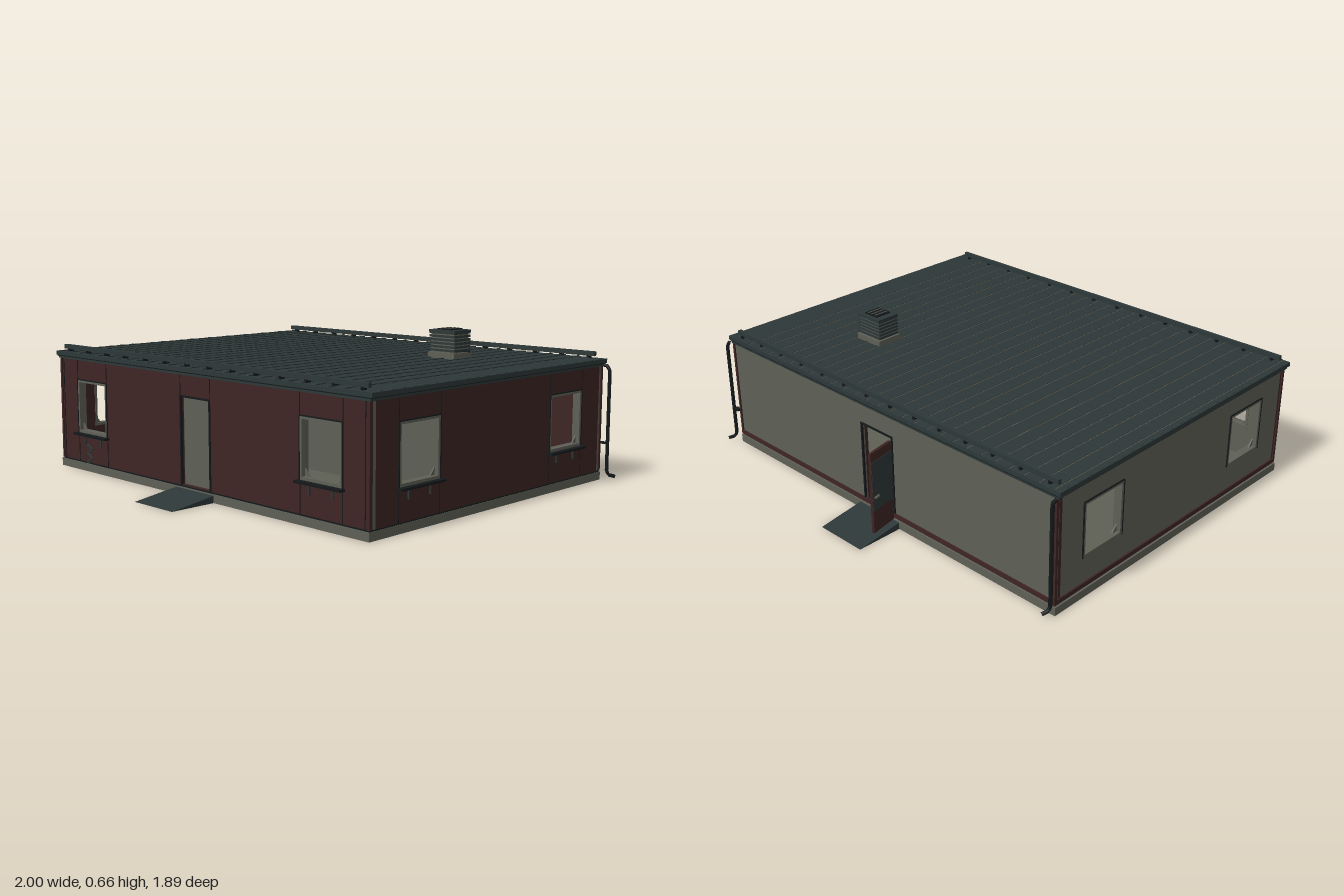
import * as THREE from 'three';

const mat = (name, color, side = THREE.FrontSide) => {
  const m = new THREE.MeshStandardMaterial({ color, side });
  m.name = name;
  return m;
};

export function createModel() {
  const red = mat('dark red cladding', 0x3e2424);
  const slate = mat('slate metal', 0x2e3838);
  const grey = mat('warm grey', 0x5e6056);
  const black = mat('near black', 0x15191b);
  const house = new THREE.Group();
  house.name = 'house';

  const add = (name, geo, m, parent = house) => {
    const mesh = new THREE.Mesh(geo, m);
    mesh.name = name;
    parent.add(mesh);
    return mesh;
  };
  // box given by its limits on each axis
  const box = (name, m, x0, x1, y0, y1, z0, z1, parent) => {
    const b = add(name, new THREE.BoxGeometry(x1 - x0, y1 - y0, z1 - z0), m, parent);
    b.position.set((x0 + x1) / 2, (y0 + y1) / 2, (z0 + z1) / 2);
    return b;
  };
  const pipe = (name, m, r, pts) => {
    const path = new THREE.CurvePath();
    const v = pts.map(p => new THREE.Vector3(...p));
    for (let i = 1; i < v.length; i++) path.add(new THREE.LineCurve3(v[i - 1], v[i]));
    add(name, new THREE.TubeGeometry(path, 40, r, 6), m);
  };

  const X0 = -0.975, X1 = 0.94, Z = 0.73, Y0 = 0.035, Y1 = 0.505, T = 0.015;
  const WY0 = 0.17, WY1 = 0.41;

  // Foundation slab
  box('foundation', grey, -0.985, 0.945, 0, Y0, -0.738, 0.738);

  // Walls: two thin skins each, with openings [a, b, bottom, top]
  const skin = (a, b, holes) => {
    const s = new THREE.Shape();
    s.moveTo(a, Y0).lineTo(b, Y0).lineTo(b, Y1).lineTo(a, Y1).closePath();
    for (const [h0, h1, v0, v1] of holes) {
      const h = new THREE.Path();
      h.moveTo(h0, v0).lineTo(h0, v1).lineTo(h1, v1).lineTo(h1, v0).closePath();
      s.holes.push(h);
    }
    return new THREE.ExtrudeGeometry(s, { depth: T, bevelEnabled: false });
  };
  const door = [-0.11, 0.075, 0.045, 0.41];
  const frontWindows = [[-0.85, -0.63, WY0, WY1], [0.59, 0.81, WY0, WY1]];
  const sideWindows = [[-0.58, -0.35, WY0, WY1], [0.35, 0.58, WY0, WY1]];
  const wallZ = (name, z, holes) => {
    add(name + 'RedSkin', skin(X0, X1, holes), red).position.z = z;
    add(name + 'GreySkin', skin(X0, X1, holes), grey).position.z = z - T;
  };
  const wallX = (name, x) => {
    const w = Z - 2 * T;
    add(name + 'RedSkin', skin(-w, w, sideWindows).rotateY(Math.PI / 2), red).position.x = x;
    add(name + 'GreySkin', skin(-w, w, sideWindows).rotateY(Math.PI / 2), grey).position.x = x - T;
  };
  wallZ('frontWall', Z - T, [door, ...frontWindows]);
  wallZ('backWall', -Z + T, [door]);
  wallX('leftWall', X1 - T);
  wallX('rightWall', X0 + T);

  // Inner partition, ceiling and inner door leaf
  box('partition', grey, X0 + 0.03, X1 - 0.03, Y0, Y1, 0.09, 0.12);
  box('ceiling', slate, X0 + 0.03, X1 - 0.03, 0.49, 0.504, -0.7, 0.7);
  box('innerDoor', red, -0.3, -0.285, 0.04, 0.4, -0.6, -0.33);
  box('innerDoorPane', slate, -0.286, -0.282, 0.13, 0.36, -0.56, -0.34);

  // Sole boards on the grey sides, corner boards and top trim
  box('backSoleBoard', red, X0, X1, 0.04, 0.06, -0.736, -0.729);
  box('rightSoleBoard', red, -0.981, -0.974, 0.04, 0.06, -Z, Z);
  box('frontSoleStrip', black, X0, X1, 0.035, 0.04, 0.729, 0.734);
  box('leftSoleStrip', black, 0.939, 0.943, 0.035, 0.04, -Z, Z);
  for (const x of [X0, X1]) for (const z of [-Z, Z])
    box('cornerBoard', red, x - 0.006, x + 0.005, 0.04, 0.5, z - 0.006, z + 0.006);

  // Cladding seams
  for (const x of [-0.96, -0.85, -0.63, -0.112, 0.077, 0.59, 0.81, 0.92]) {
    const onWindow = Math.abs(x) > 0.5 && Math.abs(x) < 0.9;
    const spans = onWindow ? [[0.04, WY0], [WY1, 0.5]] : Math.abs(x) < 0.2 ? [[WY1, 0.5]] : [[0.04, 0.5]];
    for (const [a, b] of spans) box('frontSeam', black, x - 0.0015, x + 0.0015, a, b, 0.729, 0.732);
  }
  for (const z of [-0.58, -0.35, 0.35, 0.58]) for (const [a, b] of [[0.04, WY0], [WY1, 0.5]])
    box('sideSeam', black, 0.939, 0.942, a, b, z - 0.0015, z + 0.0015);

  // Window: frame, corner gussets, sill and sill brackets, built facing +z
  const gusset = new THREE.Shape();
  gusset.moveTo(0, 0).lineTo(0.025, 0).lineTo(0, 0.03).closePath();
  const makeWindow = (w, sill) => {
    const g = new THREE.Group(), h = w / 2, f = 0.012;
    g.name = 'window';
    for (const s of [-1, 1]) {
      const x = s * (h - f / 2);
      box('frameStile', grey, x - f / 2, x + f / 2, WY0, WY1, -0.032, 0.003, g);
      box('frameEdge', black, s * h - 0.002, s * h + 0.002, WY0, WY1, 0, 0.005, g);
      const k = add('frameGusset', new THREE.ExtrudeGeometry(gusset, { depth: 0.006, bevelEnabled: false }), grey, g);
      k.position.set(-s * (h - f), WY0 + f, -0.02);
      if (s > 0) continue;
      k.rotation.y = Math.PI;
      k.position.z = -0.014;
    }
    box('frameBottom', grey, -h, h, WY0, WY0 + f, -0.032, 0.003, g);
    box('frameTop', grey, -h, h, WY1 - f, WY1, -0.032, 0.003, g);
    box('frameTopEdge', black, -h, h, WY1 - 0.002, WY1 + 0.003, 0, 0.005, g);
    if (sill) {
      box('sill', black, -h - 0.01, h + 0.01, 0.16, 0.17, -0.01, 0.026, g);
      for (const s of [-1, 1])
        box('sillBracket', slate, s * 0.06 - 0.004, s * 0.06 + 0.004, 0.12, 0.16, 0, 0.006, g);
    }
    house.add(g);
    return g;
  };
  for (const x of [-0.74, 0.7]) makeWindow(0.22, true).position.set(x, 0, Z);
  for (const z of [-0.465, 0.465]) {
    const l = makeWindow(0.23, true);
    l.position.set(X1, 0, z);
    l.rotation.y = Math.PI / 2;
    const r = makeWindow(0.23, false);
    r.position.set(X0, 0, z);
    r.rotation.y = -Math.PI / 2;
  }

  // Thin rail stand behind the right-hand front window
  for (const z of [0.36, 0.44]) box('standPost', black, -0.9, -0.893, 0.036, 0.3, z - 0.003, z + 0.003);
  box('standRail', black, -0.9, -0.893, 0.225, 0.235, 0.36, 0.44);

  // Small wall fitting under a front window
  for (let i = 0; i < 5; i++) {
    const b = box('wallFitting', slate, -0.79, -0.745, 0.028 + i * 0.02, 0.036 + i * 0.02, 0.73, 0.736);
    b.rotation.z = i % 2 ? 0.5 : -0.5;
  }

  // Closed front door and frames of both doorways
  box('frontDoor', grey, -0.105, 0.07, 0.045, 0.405, 0.703, 0.717);
  for (const s of [-1, 1]) {
    const z0 = s * Z - 0.004, z1 = s * Z + 0.004;
    box('doorFrameSide', black, -0.114, -0.106, 0.04, 0.414, z0, z1);
    box('doorFrameSide', black, 0.07, 0.078, 0.04, 0.414, z0, z1);
    box('doorFrameTop', black, -0.114, 0.078, 0.406, 0.414, z0, z1);
  }

  // Open back door with pane and handles
  const leaf = new THREE.Group();
  leaf.name = 'backDoor';
  box('backDoorLeaf', red, -0.006, 0.006, 0.04, 0.4, -0.13, 0, leaf);
  box('backDoorPane', slate, -0.008, 0.008, 0.14, 0.36, -0.128, -0.004, leaf);
  box('backDoorHandle', grey, -0.016, 0.016, 0.198, 0.205, -0.12, -0.095, leaf);
  leaf.position.set(-0.108, 0, -0.742);
  leaf.rotation.y = 0.2;
  house.add(leaf);

  // Entrance ramps
  const wedge = new THREE.Shape();
  wedge.moveTo(0, 0).lineTo(0.212, 0).lineTo(0, 0.03).closePath();
  for (const s of [-1, 1]) {
    const r = add('ramp', new THREE.ExtrudeGeometry(wedge, { depth: 0.24, bevelEnabled: false }), slate);
    r.rotation.y = -s * Math.PI / 2;
    r.position.set(s > 0 ? 0.1 : -0.14, 0, s * 0.735);
  }

  // Roof: eaves, deck, standing seams and tile courses
  box('eaves', slate, -0.99, 0.95, 0.498, 0.512, -0.738, 0.738);
  box('eavesShadowLine', black, -0.994, 0.954, 0.508, 0.512, -0.741, 0.741);
  box('roofDeck', slate, -1, 0.96, 0.512, 0.53, -0.742, 0.742);
  for (let i = 0; i < 26; i++) {
    const x = -0.97 + i * 0.0713;
    box('roofSeam', grey, x - 0.0015, x + 0.0015, 0.53, 0.5325, -0.738, 0.738);
    box('roofRib', slate, x + 0.002, x + 0.014, 0.53, 0.534, -0.738, 0.738);
  }
  for (let i = 0; i < 24; i++)
    box('tileCourse', slate, -0.995, 0.955, 0.53, 0.532, -0.7 + i * 0.06, -0.685 + i * 0.06);

  // Snow rails along both eaves
  for (const z of [-0.71, 0.71]) {
    box('snowRail', slate, -0.97, 0.92, 0.54, 0.56, z - 0.008, z + 0.008);
    for (let i = 0; i < 14; i++) {
      const x = -0.93 + i * 0.14;
      box('snowRailFoot', black, x - 0.005, x + 0.005, 0.53, 0.542, z - 0.012, z + 0.012);
    }
  }

  // Chimney with louvres and slatted cap
  box('chimneyBase', grey, 0.38, 0.525, 0.53, 0.555, -0.36, -0.24);
  box('chimneyCore', grey, 0.39, 0.515, 0.555, 0.645, -0.35, -0.25);
  for (let i = 0; i < 6; i++)
    box('chimneyLouvre', slate, 0.383, 0.522, 0.56 + i * 0.015, 0.57 + i * 0.015, -0.354, -0.246);
  box('chimneyCap', slate, 0.383, 0.522, 0.642, 0.652, -0.356, -0.244);
  box('chimneyVent', black, 0.415, 0.49, 0.65, 0.657, -0.34, -0.26);
  for (let i = 0; i < 3; i++)
    box('chimneySlat', grey, 0.428 + i * 0.022, 0.432 + i * 0.022, 0.655, 0.659, -0.335, -0.265);
  box('chimneyPin', black, 0.52, 0.56, 0.56, 0.565, -0.303, -0.298);

  // Downpipes at the back corners
  pipe('leftDownpipe', black, 0.008, [[0.945, 0.5, -0.742], [0.958, 0.5, -0.744],
    [0.972, 0.48, -0.747], [0.972, 0.04, -0.747], [0.978, 0.022, -0.755], [0.994, 0.015, -0.778]]);
  pipe('rightDownpipe', black, 0.008, [[-0.985, 0.5, -0.738], [-0.97, 0.48, -0.747],
    [-0.97, 0.04, -0.747], [-0.965, 0.022, -0.755], [-0.955, 0.015, -0.778]]);
  box('pipeClip', black, 0.94, 0.972, 0.16, 0.168, -0.75, -0.73);
  return house;
}
